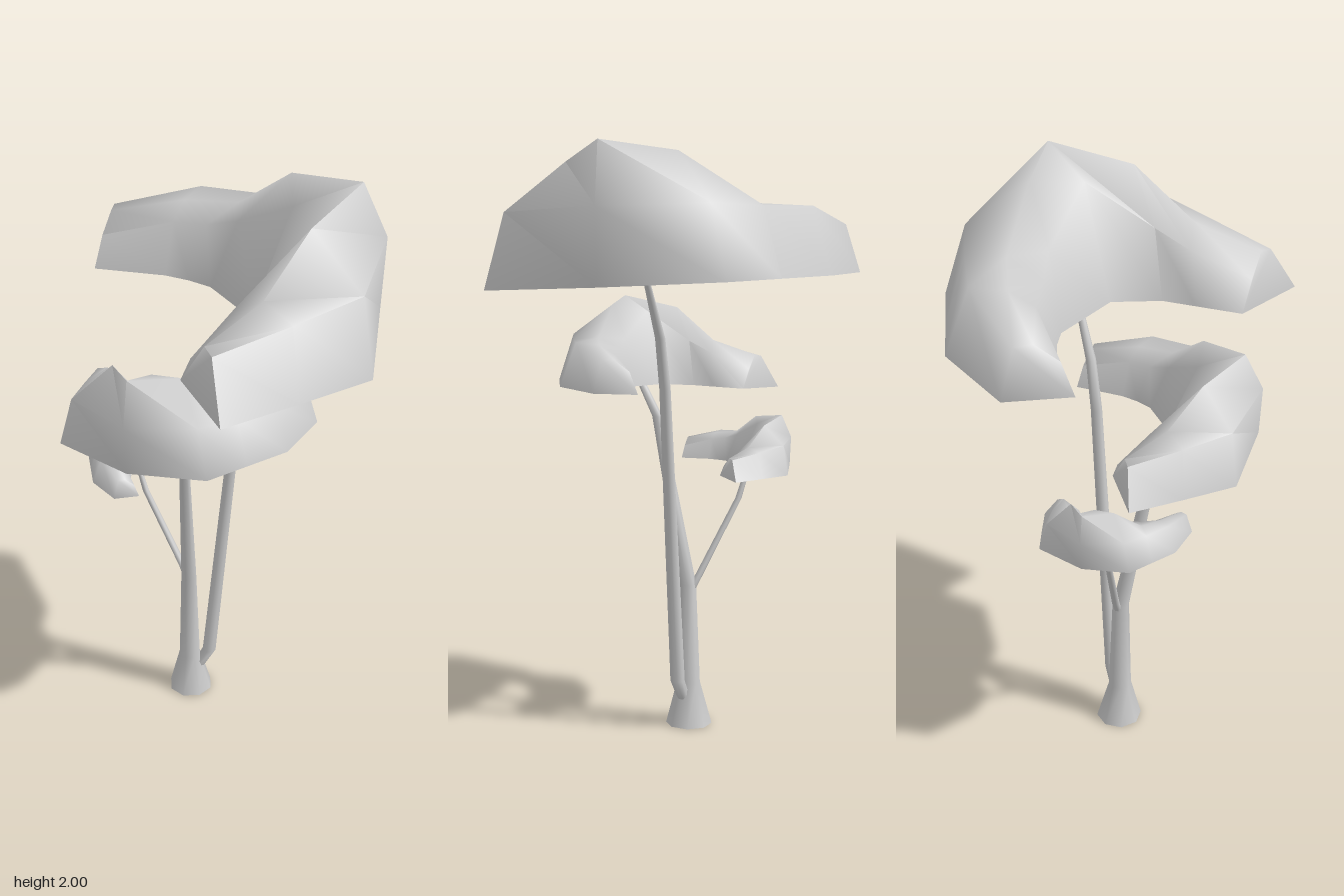
import * as THREE from 'three';
import { toCreasedNormals } from 'three/addons/utils/BufferGeometryUtils.js';

// Skin closed rings of points; optionally close both ends with fans
function loft(rings, capped) {
  const n = rings[0].length, last = (rings.length - 1) * n, index = [];
  for (let i = 0; i < rings.length - 1; i++) {
    for (let j = 0; j < n; j++) {
      const a = i * n + j, b = i * n + (j + 1) % n;
      index.push(a, b, b + n, a, b + n, a + n);
    }
  }
  if (capped) {
    for (let j = 1; j < n - 1; j++) {
      index.push(0, j + 1, j, last, last + j, last + j + 1);
    }
  }
  const geometry = new THREE.BufferGeometry();
  geometry.setAttribute('position', new THREE.Float32BufferAttribute(rings.flat(2), 3));
  geometry.setIndex(index);
  geometry.computeVertexNormals();
  return geometry;
}

// Crescent of foliage: sloping flat underside, smooth humped top
function canopyGeometry() {
  const base = (x, z) => [x, 1.55 - 0.05 * z, z];
  // each section: inner rim, outer rim, outer shoulder, crest, inner shoulder
  const sections = [
    [base(-0.42, -0.40), base(-0.36, -0.61), [-0.35, 1.74, -0.56], [-0.36, 1.74, -0.50], [-0.39, 1.68, -0.43]],
    [base(-0.18, -0.34), base(-0.03, -0.64), [-0.05, 1.80, -0.56], [-0.11, 1.79, -0.46], [-0.15, 1.74, -0.39]],
    [base(-0.10, -0.30), base(0.18, -0.55), [0.16, 1.80, -0.48], [0.07, 1.81, -0.38], [-0.04, 1.76, -0.31]],
    [base(-0.03, -0.25), base(0.39, -0.46), [0.36, 1.81, -0.39], [0.23, 1.97, -0.22], [0.06, 1.80, -0.24]],
    [base(0.11, 0.00), base(0.52, -0.09), [0.53, 1.80, -0.09], [0.44, 2.00, -0.05], [0.22, 1.93, -0.03]],
    [base(0.05, 0.16), base(0.44, 0.37), [0.41, 1.78, 0.31], [0.26, 1.94, 0.17], [0.12, 1.77, 0.17]],
    [base(-0.03, 0.24), base(0.21, 0.50), [0.19, 1.735, 0.41], [0.11, 1.77, 0.31], [0.02, 1.71, 0.25]],
    [base(-0.14, 0.35), base(-0.03, 0.63), [-0.05, 1.69, 0.51], [-0.07, 1.70, 0.46], [-0.11, 1.63, 0.40]],
  ];
  return toCreasedNormals(loft(sections, true), 1.4);
}

// Tapering limb through points [x, y, z, radius]
function limbGeometry(points) {
  const sides = 8;
  return loft(points.map(([x, y, z, r]) => Array.from({ length: sides }, (_, k) => {
    const a = (k + 0.5) / sides * Math.PI * 2;
    return [x + r * Math.cos(a), y, z - r * Math.sin(a)];
  })), false);
}

export function createModel() {
  const group = new THREE.Group();
  const material = new THREE.MeshStandardMaterial({ color: 0xcccccc });
  const limbMaterial = new THREE.MeshStandardMaterial({ color: 0xcccccc, side: THREE.DoubleSide });

  // The same crescent at three sizes, turned around the trunk
  const foliage = canopyGeometry();
  const canopies = [
    ['upperCanopy', 1, 0, [0, 0, 0]],
    ['middleCanopy', 0.67, -2.194, [-0.16, 0.145, 0]],
    ['lowerCanopy', 0.395, 2.094, [-0.23, 0.293, -0.203]],
  ];
  for (const [name, scale, turn, position] of canopies) {
    const mesh = new THREE.Mesh(foliage, material);
    mesh.name = name;
    mesh.scale.setScalar(scale);
    mesh.rotation.y = turn;
    mesh.position.set(...position);
    group.add(mesh);
  }

  // Flared trunk bending up to the middle canopy, and two branches
  const limbs = {
    trunk: [[-0.115, 0, -0.095, 0.08], [-0.117, 0.15, -0.092, 0.04], [-0.117, 0.5, -0.088, 0.029],
      [-0.13, 1.08, 0.038, 0.018], [-0.19, 1.22, 0.15, 0.013]],
    upperBranch: [[-0.09, 0.09, -0.088, 0.022], [-0.045, 0.17, -0.085, 0.025], [0.055, 1.2, -0.085, 0.019],
      [0.09, 1.37, -0.085, 0.017], [0.185, 1.56, -0.085, 0.011]],
    lowerBranch: [[-0.12, 0.48, -0.1, 0.014], [-0.14, 0.53, -0.12, 0.013], [-0.265, 0.79, -0.212, 0.011],
      [-0.3, 0.92, -0.24, 0.008]],
  };
  for (const [name, points] of Object.entries(limbs)) {
    const mesh = new THREE.Mesh(limbGeometry(points), limbMaterial);
    mesh.name = name;
    group.add(mesh);
  }
  return group;
}
